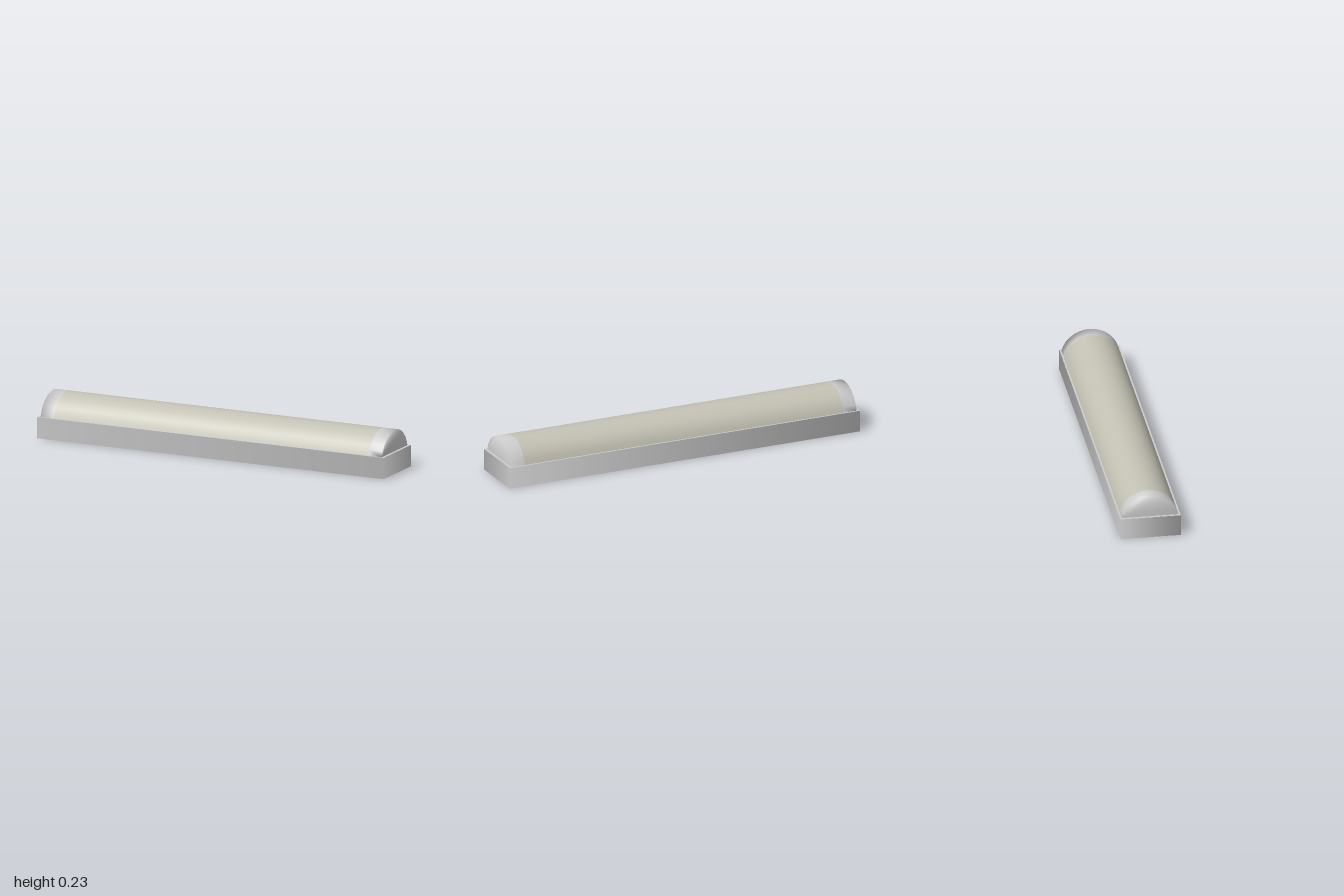
import * as THREE from 'three';

const BASE = { length: 2, height: 0.113, depth: 0.316 };
const RADIUS = 0.154, CENTRE_Y = 0.073; // dome arc
const LENS_END = 0.91, CAP_END = 0.985;
const SEGMENTS = 14;

// Lofts the dome arc between two x positions; closeEnd fills the flat outer end.
function domeSection(x0, x1, closeEnd) {
  const half = Math.acos((BASE.height - CENTRE_Y) / RADIUS);
  const positions = [], index = [];
  const row = SEGMENTS + 1;
  for (const x of [x0, x1]) {
    for (let i = 0; i < row; i++) {
      const a = half - (2 * half * i) / SEGMENTS;
      positions.push(x, CENTRE_Y + RADIUS * Math.cos(a), RADIUS * Math.sin(a));
    }
  }
  for (let i = 0; i < SEGMENTS; i++) {
    index.push(i, row + i, i + 1, i + 1, row + i, row + i + 1);
    if (closeEnd && i > 0) index.push(row, row + i + 1, row + i);
  }
  const geometry = new THREE.BufferGeometry();
  geometry.setAttribute('position', new THREE.Float32BufferAttribute(positions, 3));
  geometry.setIndex(index);
  geometry.computeVertexNormals(); // shading rolls softly over the end rim
  return geometry;
}

// Box whose four walls are shaded smoothly around the corners.
function softWalledBox(w, h, d) {
  const geometry = new THREE.BoxGeometry(w, h, d);
  const { position, normal } = geometry.attributes;
  for (let i = 0; i < position.count; i++) {
    if (Math.abs(normal.getY(i)) > 0.5) continue;
    normal.setXYZ(i, Math.sign(position.getX(i)) * Math.SQRT1_2, 0, Math.sign(position.getZ(i)) * Math.SQRT1_2);
  }
  return geometry.translate(0, h / 2, 0);
}

export function createModel() {
  const model = new THREE.Group();
  model.name = 'battenLight';
  const body = new THREE.MeshStandardMaterial({ color: 0xcccccc, side: THREE.DoubleSide });
  const diffuser = new THREE.MeshStandardMaterial({ color: 0xc4c2b4, side: THREE.DoubleSide });

  const add = (name, geometry, material) => {
    const mesh = new THREE.Mesh(geometry, material);
    mesh.name = name;
    model.add(mesh);
    return mesh;
  };

  // Mounting base
  add('base', softWalledBox(BASE.length, BASE.height, BASE.depth), body);

  // Long domed diffuser
  add('lens', domeSection(-LENS_END, LENS_END, false), diffuser);

  // End caps, the second turned around
  const cap = domeSection(LENS_END, CAP_END, true);
  add('leftEndCap', cap, body);
  add('rightEndCap', cap, body).rotation.y = Math.PI;

  return model;
}
